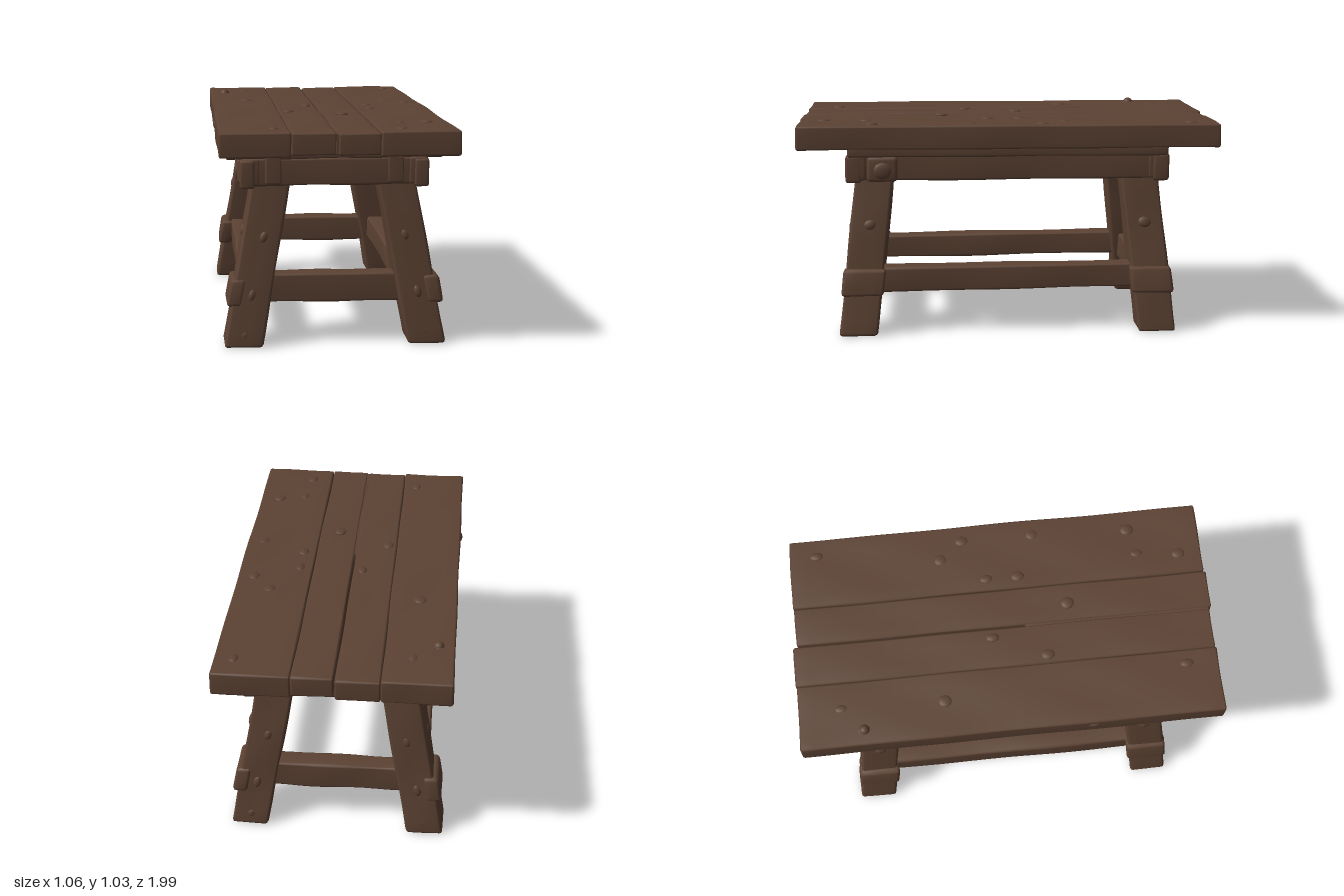
import * as THREE from 'three';
import { mergeVertices } from 'three/addons/utils/BufferGeometryUtils.js';

const wood = new THREE.MeshStandardMaterial({ color: 0x5c4233 });
wood.name = 'dark brown wood';

let seed = 1;

// Hand-hewn beam: a subdivided box with worn edges and a slightly wavy surface.
function beamGeometry(w, h, d, r = 0.012, rough = 0.003) {
  const size = [w, h, d];
  const n = size.map((s) => Math.max(3, Math.min(32, Math.round(s / 0.06) + 2)));
  let geo = new THREE.BoxGeometry(w, h, d, ...n);
  geo.deleteAttribute('normal');
  geo.deleteAttribute('uv');
  geo = mergeVertices(geo);
  const k = seed++ * 2.37;
  const pos = geo.attributes.position;
  const p = new THREE.Vector3(), core = new THREE.Vector3(), out = new THREE.Vector3();
  for (let i = 0; i < pos.count; i++) {
    p.fromBufferAttribute(pos, i);
    for (let a = 0; a < 3; a++) {
      const half = size[a] / 2;
      const j = Math.round((p.getComponent(a) / size[a] + 0.5) * n[a]);
      const v = j === 0 ? -half : j === n[a] ? half
        : -half + r + ((j - 1) / (n[a] - 2)) * (size[a] - 2 * r);
      p.setComponent(a, v);
      core.setComponent(a, THREE.MathUtils.clamp(v, r - half, half - r));
    }
    out.subVectors(p, core);
    if (out.length() > r) out.setLength(r);
    // gentle waves over the whole face
    const wave = Math.sin(p.x * 11 + k) * Math.cos(p.z * 5 - k) + Math.sin(p.y * 12 + p.x * 17 + p.z * 9 + k * 3);
    p.copy(core).add(out).addScaledVector(out.normalize(), wave * rough * 0.5);
    pos.setXYZ(i, p.x, p.y, p.z);
  }
  geo.computeVertexNormals();
  return geo;
}

function addMesh(parent, name, geo) {
  const mesh = new THREE.Mesh(geo, wood);
  mesh.name = name;
  parent.add(mesh);
  return mesh;
}

// Beam given by its extents along each axis.
function beam(parent, name, [x0, x1], [y0, y1], [z0, z1], r, rough) {
  const geo = beamGeometry(x1 - x0, y1 - y0, z1 - z0, r, rough);
  geo.translate((x0 + x1) / 2, (y0 + y1) / 2, (z0 + z1) / 2);
  return addMesh(parent, name, geo);
}

// Lean a geometry outward the way the legs splay.
function splay(geo, sx, sz) {
  const pos = geo.attributes.position;
  for (let i = 0; i < pos.count; i++) {
    const y = pos.getY(i);
    pos.setX(i, pos.getX(i) - sx * 0.178 * y);
    pos.setZ(i, pos.getZ(i) - sz * 0.108 * y);
  }
  geo.computeVertexNormals();
}

// Raise one end of a stretcher a little.
function tilt(geo, slopeX, slopeZ) {
  const pos = geo.attributes.position;
  for (let i = 0; i < pos.count; i++) {
    pos.setY(i, pos.getY(i) + slopeX * pos.getX(i) + slopeZ * pos.getZ(i));
  }
}

function knot(parent, x, y, z, rx, ry, rz) {
  const geo = new THREE.SphereGeometry(1, 12, 8);
  geo.scale(rx, ry, rz);
  geo.translate(x, y, z);
  return addMesh(parent, 'knot', geo);
}

export function createModel() {
  const table = new THREE.Group();
  table.name = 'rusticTable';

  // Table top planks: x range, z range, bottom and top height
  const top = new THREE.Group();
  top.name = 'tableTop';
  table.add(top);
  [
    [-0.524, -0.213, -0.988, 0.98, 0.893, 1.003],
    [-0.212, -0.016, -0.995, 0.978, 0.9, 1.0],
    [-0.008, 0.177, -0.98, 0.99, 0.9, 0.998],
    [0.178, 0.528, -0.988, 0.982, 0.893, 1.003],
  ].forEach(([x0, x1, z0, z1, y0, y1]) => beam(top, 'plank', [x0, x1], [y0, y1], [z0, z1], 0.009, 0.003));

  // Wedge of wood closing the front half of the centre gap
  beam(top, 'gapFiller', [-0.02, -0.004], [0.905, 0.994], [0.1, 0.975], 0.003, 0);

  // Knots and raised splinters on the planks
  [
    [-0.34, -0.79], [-0.45, -0.69], [-0.35, -0.31], [-0.06, -0.06], [-0.17, 0.19], [0.08, 0.31],
    [0.24, -0.06], [0.24, 0.09], [0.36, -0.27], [0.44, -0.86], [0.45, -0.16], [0.45, 0.18],
    [-0.28, 0.83], [0.28, 0.87], [0.43, 0.64], [0.3, 0.67],
  ].forEach(([x, z], i) => knot(top, x, 1.0, z, 0.022 + (i % 3) * 0.004, 0.01, 0.032));
  knot(top, -0.45, 1.0, -0.69, 0.025, 0.024, 0.025);
  knot(top, -0.52, 0.965, 0.37, 0.014, 0.022, 0.03);

  // Support board under the planks
  beam(table, 'supportBoard', [-0.488, 0.49], [0.852, 0.902], [-0.75, 0.75], 0.01, 0.003);

  for (const s of [1, -1]) {
    const span = (a, b) => (s > 0 ? [a, b] : [-b, -a]);

    // Apron frame
    beam(table, 'sideApron', span(0.335, 0.42), [0.732, 0.857], [-0.757, 0.757]);
    beam(table, 'endApron', [-0.425, 0.425], [0.732, 0.857], span(0.665, 0.75));

    // Peg block on the side apron near the front
    beam(table, 'pegBlock', span(0.4, 0.435), [0.727, 0.845], [0.52, 0.662], 0.016);
    knot(table, s * 0.433, 0.78, 0.59, 0.013, 0.04, 0.045);

    // Stretchers between the legs
    const side = beam(table, 'sideStretcher', span(0.325, 0.425), [0.2, 0.317], [-0.66, 0.66], 0.012, 0.004);
    tilt(side.geometry, 0, -0.009);
    const end = beam(table, 'endStretcher', [-0.37, 0.37], [0.188, 0.321], span(0.625, 0.725), 0.012, 0.004);
    tilt(end.geometry, -0.008, 0);

    for (const t of [1, -1]) {
      const spanZ = (a, b) => (t > 0 ? [a, b] : [-b, -a]);

      // Corner block and bracket on the end apron
      beam(table, 'cornerBlock', span(0.36, 0.427), [0.722, 0.85], spanZ(0.69, 0.765), 0.012);
      beam(table, 'bracket', span(0.24, 0.312), [0.742, 0.885], spanZ(0.71, 0.762), 0.008);

      // Splayed leg with tenon collar and knots
      const leg = new THREE.Group();
      leg.name = 'leg';
      table.add(leg);
      const parts = [
        beam(leg, 'legPost', span(0.332, 0.506), [0, 0.85], spanZ(0.622, 0.802), 0.014, 0.004),
        beam(leg, 'tenonCollar', span(0.46, 0.528), [0.19, 0.312], spanZ(0.612, 0.81), 0.014, 0.004),
        knot(leg, s * 0.42, 0.06, t * 0.8, 0.018, 0.018, 0.005),
        knot(leg, s * 0.41, 0.5, t * 0.8, 0.018, 0.025, 0.009),
        knot(leg, s * 0.42, 0.24, t * 0.8, 0.018, 0.028, 0.01),
        knot(leg, s * 0.503, 0.52, t * 0.71, 0.012, 0.025, 0.03),
      ];
      parts.forEach((m) => splay(m.geometry, s, t));
    }
  }
  return table;
}
